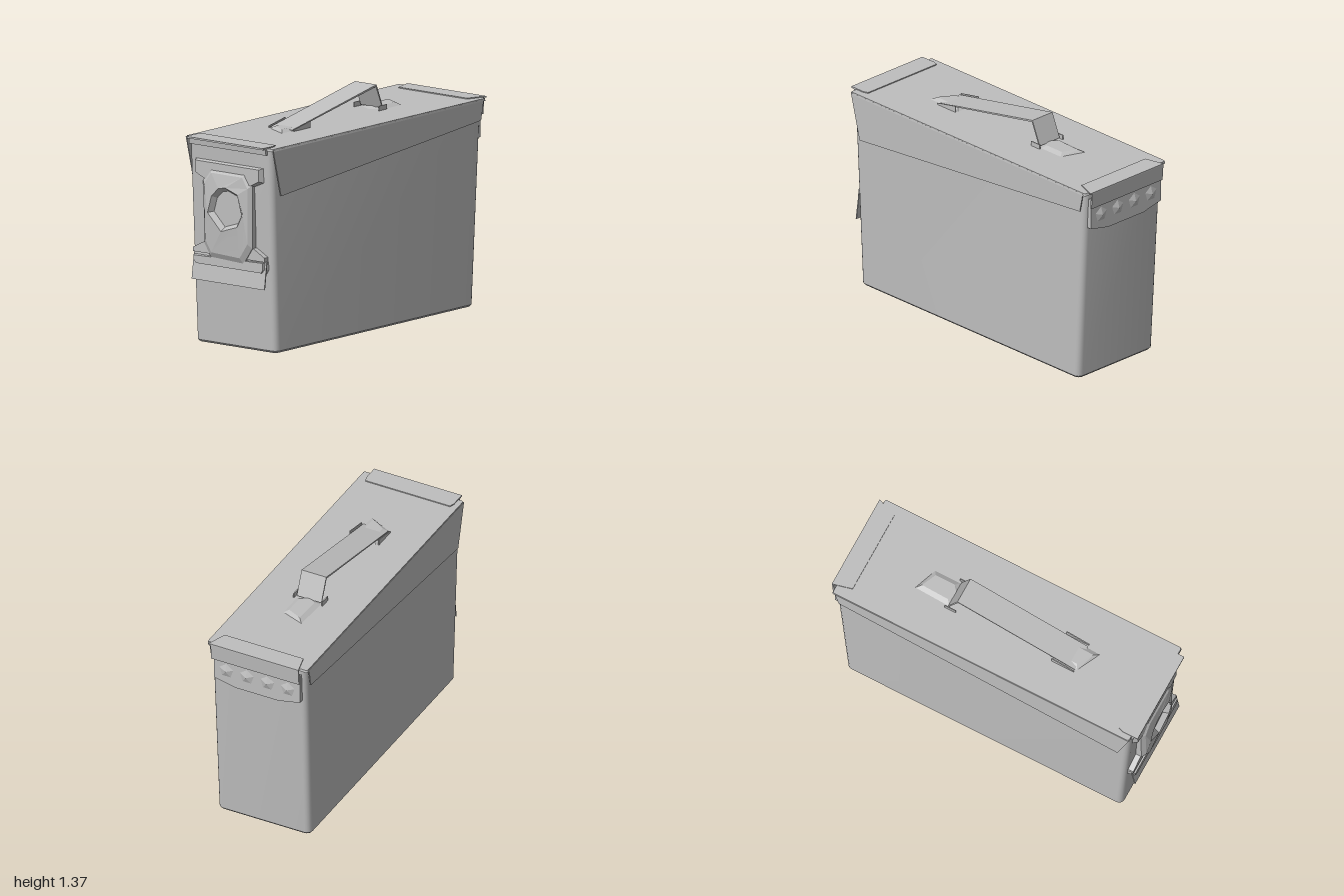
import * as THREE from 'three';
import { toCreasedNormals } from 'three/addons/utils/BufferGeometryUtils.js';

const steel = new THREE.MeshStandardMaterial({ color: 0xbebebe, side: THREE.DoubleSide });
steel.name = 'grey steel';

// Joins equal-length loops of [x, y, z] points into a closed, capped skin
function loft(rings, crease = 0.6) {
  const out = [];
  const tri = (...p) => p.forEach((v) => out.push(...v));
  const centre = (r) => [0, 1, 2].map((k) => r.reduce((s, p) => s + p[k], 0) / r.length);
  const n = rings[0].length;
  for (let i = 0; i < n; i++) {
    const j = (i + 1) % n;
    for (let r = 0; r + 1 < rings.length; r++) {
      const a = rings[r], b = rings[r + 1];
      tri(a[i], a[j], b[j]);
      tri(a[i], b[j], b[i]);
    }
    const first = rings[0], last = rings[rings.length - 1];
    tri(centre(first), first[j], first[i]);
    tri(centre(last), last[i], last[j]);
  }
  const g = new THREE.BufferGeometry();
  g.setAttribute('position', new THREE.Float32BufferAttribute(out, 3));
  return toCreasedNormals(g, crease);
}

// Horizontal rounded rectangle at height y
function roundedLoop(y, hx, zFront, zBack, r) {
  const pts = [];
  const corners = [[hx - r, zBack + r], [-hx + r, zBack + r], [-hx + r, zFront - r], [hx - r, zFront - r]];
  corners.forEach(([cx, cz], q) => {
    for (let k = 0; k <= 4; k++) {
      const a = (q + k / 4) * Math.PI / 2;
      pts.push([cx + r * Math.cos(a), y, cz - r * Math.sin(a)]);
    }
  });
  return pts;
}

function extrude(points, depth) {
  const shape = new THREE.Shape(points.map(([x, y]) => new THREE.Vector2(x, y)));
  return new THREE.ExtrudeGeometry(shape, { depth, bevelEnabled: false });
}
// Plate outlined in (x, y), facing forward
const frontPlate = (pts, z, d) => extrude(pts, d).translate(0, 0, z);
// Plate outlined in (z, y), starting at x
const sidePlate = (pts, x, d) => extrude(pts.map(([z, y]) => [-z, y]), d).rotateY(Math.PI / 2).translate(x, 0, 0);
// Plate outlined in (x, z), lying at height y
const topPlate = (pts, y, d) => extrude(pts.map(([x, z]) => [x, -z]), d).rotateX(-Math.PI / 2).translate(0, y, 0);

export function createModel() {
  const model = new THREE.Group();
  model.name = 'ammunitionCan';
  const add = (name, geometry, parent = model) => {
    const m = new THREE.Mesh(geometry, steel);
    m.name = name;
    parent.add(m);
    return m;
  };

  // Tapered box
  add('body', loft([
    roundedLoop(0, 0.29, 0.89, -0.885, 0.03),
    roundedLoop(0.012, 0.3, 0.9, -0.895, 0.035),
    roundedLoop(1.2, 0.307, 0.955, -0.962, 0.035),
  ]));

  // Lid with tapering side flaps
  add('lid', loft([
    roundedLoop(1.195, 0.325, 0.96, -0.975, 0.012),
    roundedLoop(1.21, 0.323, 0.957, -0.972, 0.012),
  ]));
  const flap = [[0.957, 1.205], [0.885, 0.925], [-0.93, 1.085], [-0.955, 1.205]];
  add('rightFlap', sidePlate(flap, -0.326, 0.006));
  add('leftFlap', sidePlate(flap, 0.318, 0.006));

  // Front lip
  add('frontLipTop', topPlate([[-0.28, 0.87], [0.27, 0.87], [0.28, 0.9], [0.28, 0.998], [-0.29, 0.998], [-0.29, 0.9]], 1.206, 0.01));
  add('frontLipEdge', sidePlate([[0.955, 1.21], [0.975, 1.21], [0.97, 1.17], [0.955, 1.17]], -0.29, 0.57));

  // Rear hinge: cover folded over the lid edge, then a panel with knuckles
  const hinge = new THREE.Group();
  hinge.name = 'rearHinge';
  model.add(hinge);
  add('hingeTop', topPlate([[-0.28, -1], [0.305, -1], [0.26, -0.88], [-0.25, -0.88]], 1.208, 0.008), hinge);
  add('hingeFold', sidePlate([[-0.99, 1.212], [-1, 1.212], [-0.992, 1.11], [-0.982, 1.11]], -0.28, 0.57), hinge);
  add('hingePanel', frontPlate([[-0.28, 1.16], [-0.28, 0.975], [-0.14, 0.945], [0.14, 0.945], [0.28, 0.975], [0.28, 1.16]], -0.978, 0.03), hinge);
  for (let i = 0; i < 4; i++) {
    const knuckle = add('hingeKnuckle', new THREE.ConeGeometry(0.05, 0.016, 5).toNonIndexed(), hinge);
    knuckle.geometry.computeVertexNormals();
    knuckle.rotation.x = -Math.PI / 2;
    knuckle.position.set(-0.2 + i * 0.133, 1.045, -0.985);
  }

  // Carrying handle: raised strap, bent down at the rear
  const handle = new THREE.Group();
  handle.name = 'handle';
  model.add(handle);
  add('handleStrap', sidePlate([
    [0.48, 1.218], [-0.285, 1.365], [-0.345, 1.222], [-0.337, 1.22], [-0.28, 1.353], [0.48, 1.211],
  ], -0.085, 0.16), handle);
  const mounts = [
    [[-0.085, 0.33], [0.075, 0.33], [0.075, 0.4], [0.068, 0.565], [-0.085, 0.49]],
    [[-0.085, -0.34], [-0.075, -0.57], [0.075, -0.515], [0.075, -0.35], [0, -0.3]],
  ];
  mounts.forEach((pts) => {
    const top = pts.map(([x, z]) => [x * 0.6, z * 0.75 + (z > 0 ? 0.11 : -0.11)]);
    const ring = (p, y) => p.map(([x, z]) => [x, y, z]).reverse();
    add('handleMount', loft([ring(pts, 1.208), ring(top, 1.226)], 0.1), handle);
  });
  // Side ears holding the strap
  [[0.335, 0.48], [-0.36, -0.29]].forEach(([a, b]) => {
    [-0.1, 0.085].forEach((x) => {
      const ear = a > 0
        ? [[a, 1.25], [a, 1.212], [b, 1.212], [b, 1.222]]
        : [[a, 1.212], [a, 1.235], [-0.29, 1.35], [b, 1.32], [b - 0.03, 1.212]];
      if (a > 0) add('mountEar', sidePlate(ear, x, 0.006), handle);
      else add('mountEar', sidePlate([[a, 1.212], [b, 1.212], [b, 1.24], [a, 1.24]], x, 0.006), handle);
    });
  });

  // Front latch
  const latch = new THREE.Group();
  latch.name = 'latch';
  model.add(latch);
  add('latchCatch', loft([
    [[-0.26, 1.09], [-0.26, 1.0], [-0.18, 0.97], [0.18, 0.97], [0.25, 1.0], [0.25, 1.09]].map(([x, y]) => [x, y, 0.94]),
    [[-0.24, 1.08], [-0.24, 1.01], [-0.17, 0.98], [0.17, 0.98], [0.23, 1.01], [0.23, 1.08]].map(([x, y]) => [x, y, 0.975]),
  ], 0.1), latch);
  // Dished lever: outer edge, raised shoulder, rim and sunken centre
  const outer = [[-0.13, 1.05], [-0.19, 0.97], [-0.18, 0.6], [-0.13, 0.52], [0.11, 0.51], [0.175, 0.61], [0.175, 0.98], [0.13, 1.05]];
  const rim = [[-0.05, 0.94], [-0.1, 0.89], [-0.13, 0.79], [-0.03, 0.69], [0.09, 0.73], [0.13, 0.81], [0.09, 0.92], [0.0, 0.95]];
  const scaled = (pts, s, z) => pts.map(([x, y]) => [x * s, 0.82 + (y - 0.82) * s, z]);
  add('latchLever', loft([
    scaled(outer, 1, 0.93), scaled(outer, 1, 0.965), scaled(outer, 0.88, 0.985), scaled(rim, 1, 1), scaled(rim, 0.82, 0.968),
  ], 0.1), latch);
  add('latchBase', frontPlate([
    [-0.18, 0.61], [-0.27, 0.565], [-0.27, 0.54], [0.26, 0.54], [0.26, 0.565], [0.18, 0.61],
  ], 0.915, 0.045), latch);
  add('latchBar', loft([
    [[-0.27, 0.54], [-0.27, 0.49], [-0.25, 0.465], [0.25, 0.465], [0.265, 0.49], [0.265, 0.54]].map(([x, y]) => [x, y, 0.915]),
    [[-0.26, 0.52], [-0.26, 0.495], [-0.24, 0.475], [0.24, 0.475], [0.255, 0.495], [0.255, 0.535]].map(([x, y]) => [x, y, 0.968]),
  ], 0.1), latch);
  // Pull plate swung slightly outward
  add('latchPull', sidePlate([[0.943, 0.54], [0.95, 0.54], [0.972, 0.38], [0.965, 0.38]], -0.27, 0.54), latch);

  return model;
}
